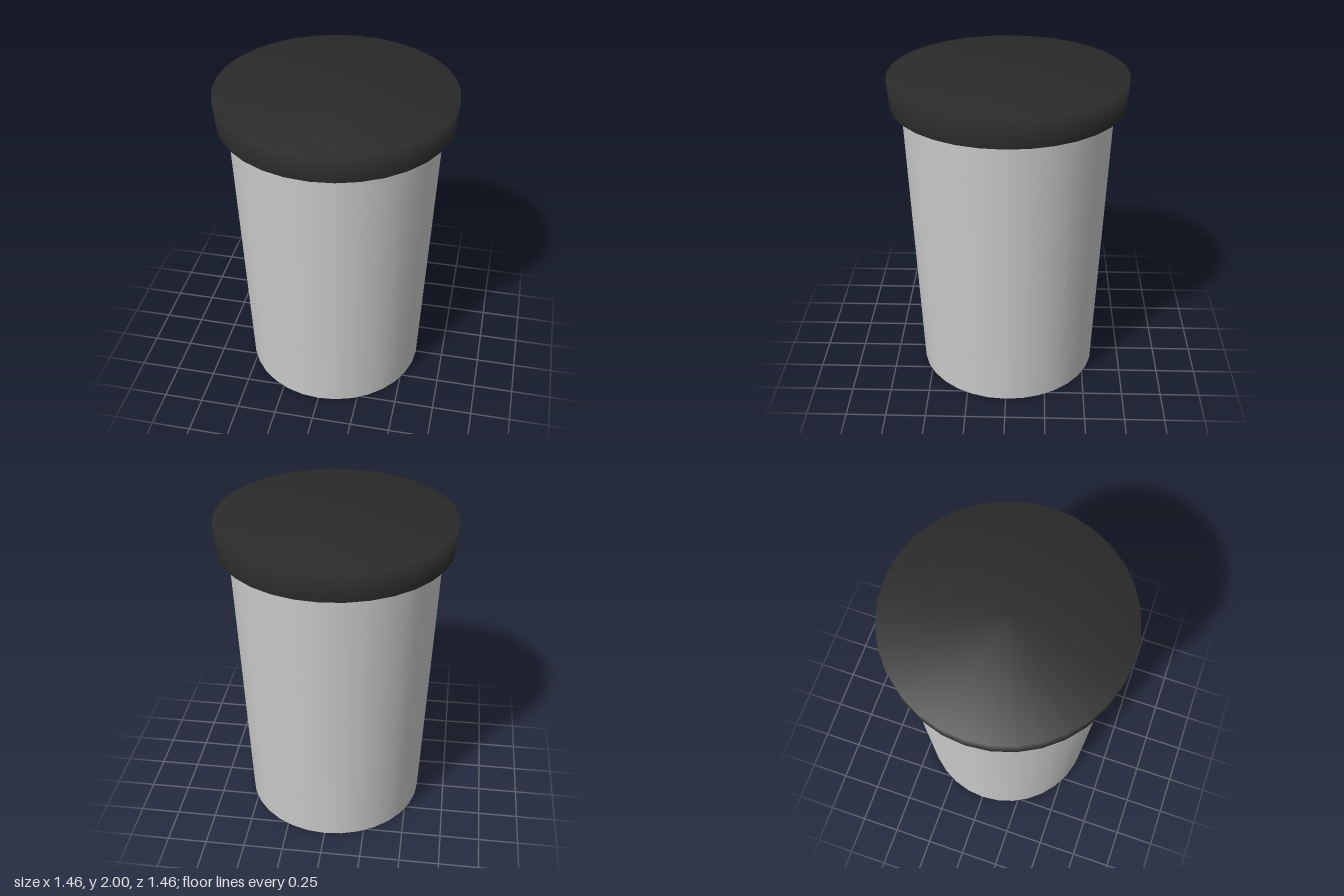
import * as THREE from 'three';

const SIDES = 32;

// Turn a radius/height profile (listed bottom to top on the outside) into a named mesh
function turned(name, profile, material) {
  const points = profile.map(([r, y]) => new THREE.Vector2(r, y));
  const mesh = new THREE.Mesh(new THREE.LatheGeometry(points, SIDES), material);
  mesh.name = name;
  return mesh;
}

export function createModel() {
  const model = new THREE.Group();
  model.name = 'lidded cup';

  const grey = new THREE.MeshStandardMaterial({ color: 0xcccccc, side: THREE.DoubleSide });
  const black = new THREE.MeshStandardMaterial({ color: 0x2a2a2a, side: THREE.DoubleSide });

  // Tapered cup, open underneath, with a lip folded inwards at the foot
  const cup = new THREE.Group();
  cup.name = 'cup';
  cup.add(
    turned('cupWall', [[0.57, 0], [0.647, 1.84]], grey),
    turned('footLip', [[0.535, 0.045], [0.57, 0]], grey),
  );

  // Lid: top and flared skirt share soft normals, underside stays flat
  const lid = new THREE.Group();
  lid.name = 'lid';
  lid.add(
    turned('lidShell', [[0.713, 1.82], [0.728, 2], [0, 2]], black),
    turned('lidUnderside', [[0.64, 1.82], [0.713, 1.82]], black),
  );

  model.add(cup, lid);
  return model;
}
